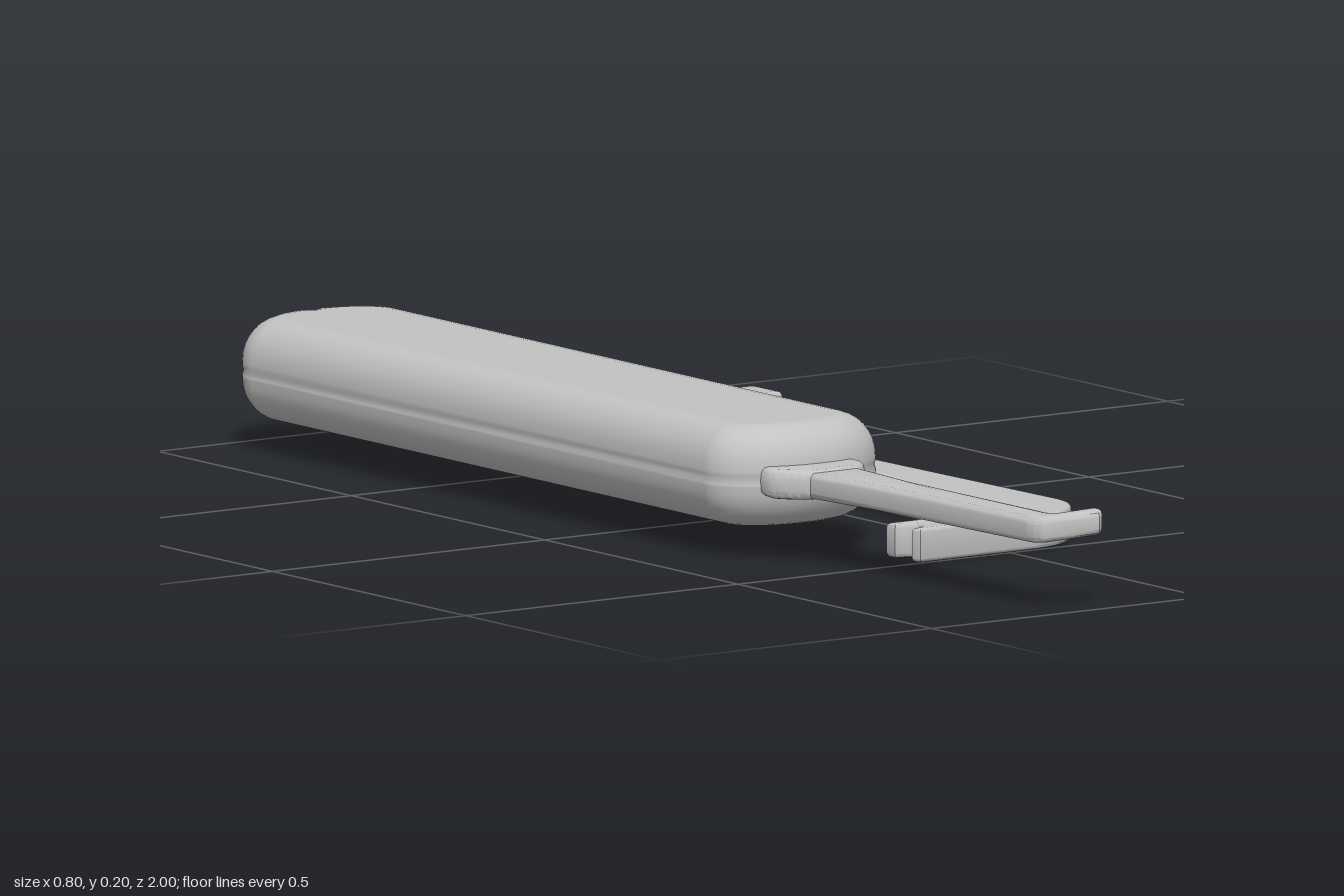
import * as THREE from 'three';
import { toCreasedNormals } from 'three/addons/utils/BufferGeometryUtils.js';

// Rounded handle: elliptical-cornered outline lofted upwards with a varying inset
function handleGeometry() {
  const cx = -0.25, cz = -0.315, halfW = 0.15, halfL = 0.685;
  const yLow = 0.045, yHigh = 0.2, ySeam = 0.121, edge = 0.058, rise = 0.066;
  const levels = [[yLow, 0.075]];
  for (let i = 0; i <= 8; i++) {
    const a = (i / 8) * Math.PI / 2;
    levels.push([yLow + rise * (1 - Math.cos(a)), edge * (1 - Math.sin(a))]);
  }
  // shallow seam between the two shells
  levels.push([ySeam - 0.007, 0], [ySeam, 0.002], [ySeam + 0.007, 0]);
  for (let i = 0; i <= 8; i++) {
    const a = (i / 8) * Math.PI / 2;
    levels.push([yHigh - rise * (1 - Math.sin(a)), edge * (1 - Math.cos(a))]);
  }
  levels.push([yHigh, 0.075]);

  const pos = [], index = [], steps = 14;
  let n = 0;
  for (const [y, inset] of levels) {
    n = 0;
    const rx = 0.144 - inset, rz = 0.1 - inset * 0.85;
    for (let q = 0; q < 4; q++) {
      const sx = q === 0 || q === 3 ? 1 : -1, sz = q < 2 ? 1 : -1;
      for (let k = 0; k <= steps; k++, n++) {
        const a = (q + k / steps) * Math.PI / 2;
        const x = sx * (halfW - inset - rx) + rx * Math.cos(a);
        let z = sz * (halfL - inset - rz) + rz * Math.sin(a);
        // small notch in the middle of the back end
        if (sz < 0 && Math.abs(x) < 0.008) z += 0.008;
        pos.push(cx + x, y, cz + z);
      }
    }
  }
  for (let r = 0; r < levels.length - 1; r++) {
    for (let i = 0; i < n; i++) {
      const j = (i + 1) % n, a = r * n + i, b = r * n + j;
      index.push(a, a + n, b, b, a + n, b + n);
    }
  }
  const bottom = pos.length / 3, top = bottom + 1, last = (levels.length - 1) * n;
  pos.push(cx, yLow, cz, cx, yHigh, cz);
  for (let i = 0; i < n; i++) {
    const j = (i + 1) % n;
    index.push(bottom, i, j, top, last + j, last + i);
  }
  const g = new THREE.BufferGeometry();
  g.setAttribute('position', new THREE.Float32BufferAttribute(pos, 3));
  g.setIndex(index);
  g.computeVertexNormals();
  return g;
}

// Plan shape (x, z) extruded between two heights with softened edges
function plate(shape, yLow, yHigh, bevel) {
  const g = new THREE.ExtrudeGeometry(shape, {
    depth: yHigh - yLow - 2 * bevel, bevelEnabled: true, bevelThickness: bevel,
    bevelSize: bevel, bevelOffset: -bevel, bevelSegments: 3, curveSegments: 12,
  });
  g.rotateX(Math.PI / 2);
  g.translate(0, yHigh - bevel, 0);
  return g;
}

export function createModel() {
  const grey = new THREE.MeshStandardMaterial({ color: 0xc2c2c2 });
  grey.name = 'grey';
  const group = new THREE.Group();
  const add = (name, geometry) => {
    const mesh = new THREE.Mesh(geometry, grey);
    mesh.name = name;
    group.add(mesh);
  };

  add('handle', handleGeometry());

  // Flared collar where the pick leaves the handle
  const collar = new THREE.Shape();
  collar.moveTo(-0.345, 0.33);
  collar.lineTo(-0.355, 0.375);
  collar.quadraticCurveTo(-0.345, 0.4, -0.31, 0.425);
  collar.lineTo(-0.222, 0.425);
  collar.quadraticCurveTo(-0.19, 0.4, -0.183, 0.375);
  collar.lineTo(-0.19, 0.33);
  add('collar', toCreasedNormals(plate(collar, 0.098, 0.143, 0.012), 0.7));

  // Tapering pick with a hooked tip
  const pick = new THREE.Shape();
  pick.moveTo(-0.315, 0.4);
  pick.lineTo(-0.296, 0.56);
  pick.lineTo(-0.28, 0.93);
  pick.quadraticCurveTo(-0.281, 0.962, -0.258, 0.971);
  pick.lineTo(-0.19, 0.998);
  pick.quadraticCurveTo(-0.172, 0.992, -0.18, 0.971);
  pick.lineTo(-0.23, 0.95);
  pick.quadraticCurveTo(-0.24, 0.944, -0.238, 0.92);
  pick.lineTo(-0.225, 0.56);
  pick.lineTo(-0.215, 0.4);
  const pickGeometry = plate(pick, 0.1, 0.139, 0.009);
  const p = pickGeometry.attributes.position;
  for (let i = 0; i < p.count; i++) {
    // the tip lifts towards its end
    if (p.getZ(i) > 0.9) {
      const t = THREE.MathUtils.clamp((p.getX(i) + 0.28) / 0.1, 0, 1);
      p.setY(i, p.getY(i) + 0.012 * t);
    }
  }
  add('pick', toCreasedNormals(pickGeometry, 0.7));

  // Tension wrench: a bar with opposite bent arms, the front one forked
  const wrench = new THREE.Shape();
  wrench.moveTo(-0.172, 0.423);
  wrench.lineTo(0.03, 0.423);
  wrench.quadraticCurveTo(0.064, 0.42, 0.064, 0.385);
  wrench.lineTo(0.038, -0.59);
  wrench.bezierCurveTo(0.035, -0.67, 0.09, -0.726, 0.17, -0.726);
  wrench.lineTo(0.38, -0.726);
  wrench.quadraticCurveTo(0.4, -0.726, 0.4, -0.71);
  wrench.lineTo(0.4, -0.653);
  wrench.lineTo(0.18, -0.653);
  wrench.quadraticCurveTo(0.14, -0.65, 0.14, -0.61);
  wrench.lineTo(0.169, 0.39);
  wrench.bezierCurveTo(0.17, 0.45, 0.11, 0.5, 0.04, 0.5);
  wrench.lineTo(-0.165, 0.5);
  wrench.lineTo(-0.17, 0.486);
  wrench.quadraticCurveTo(-0.14, 0.48, -0.142, 0.46);
  wrench.quadraticCurveTo(-0.15, 0.445, -0.172, 0.445);
  add('tensionWrench', toCreasedNormals(plate(wrench, 0, 0.052, 0.006), 0.7));

  return group;
}
